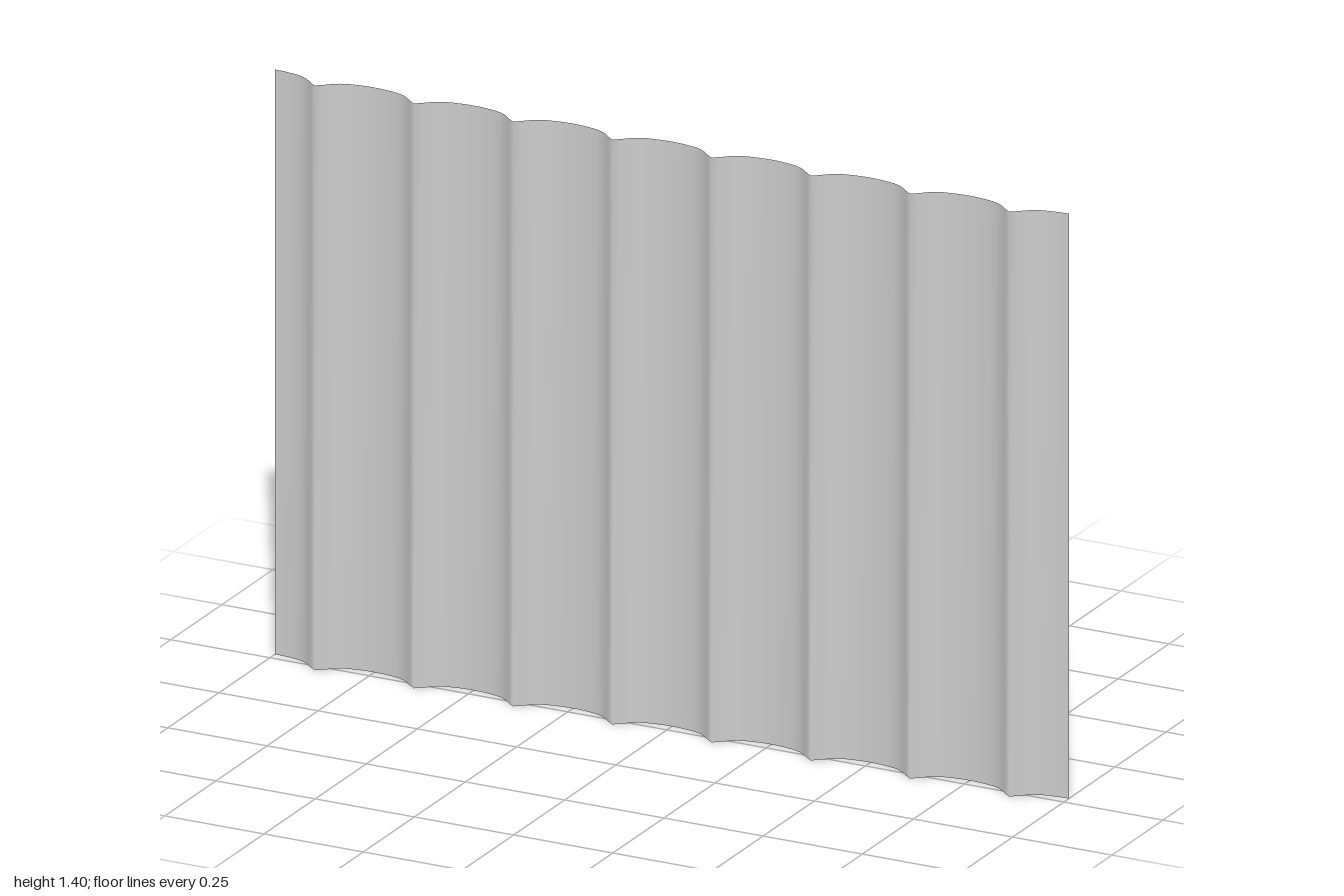
import * as THREE from 'three';

// Ridge height from crest to the middle of the trough, in equal steps
const RIDGE = [0.05, 0.038, 0.0235, 0.0135, 0.0075, 0.0045, 0.002, 0.0005, 0];
const WAVES = 8, STEPS = (RIDGE.length - 1) * 2;
const WIDTH = 2, HEIGHT = 1.4;

export function createModel() {
  const group = new THREE.Group();
  group.name = 'corrugatedPanel';

  // Flat sheet bent into narrow front ridges between broad rounded troughs
  const geometry = new THREE.PlaneGeometry(WIDTH, HEIGHT, WAVES * STEPS, 1);
  geometry.translate(0, HEIGHT / 2, 0);
  const pos = geometry.attributes.position;
  for (let i = 0; i < pos.count; i++) {
    const column = i % (WAVES * STEPS + 1);
    const fromCrest = Math.abs((column % STEPS) - STEPS / 2);
    pos.setZ(i, RIDGE[fromCrest] - 0.025);
  }
  geometry.computeVertexNormals();

  const sheet = new THREE.Mesh(
    geometry,
    new THREE.MeshStandardMaterial({ color: 0xcccccc, side: THREE.DoubleSide })
  );
  sheet.name = 'corrugatedSheet';
  group.add(sheet);
  return group;
}
